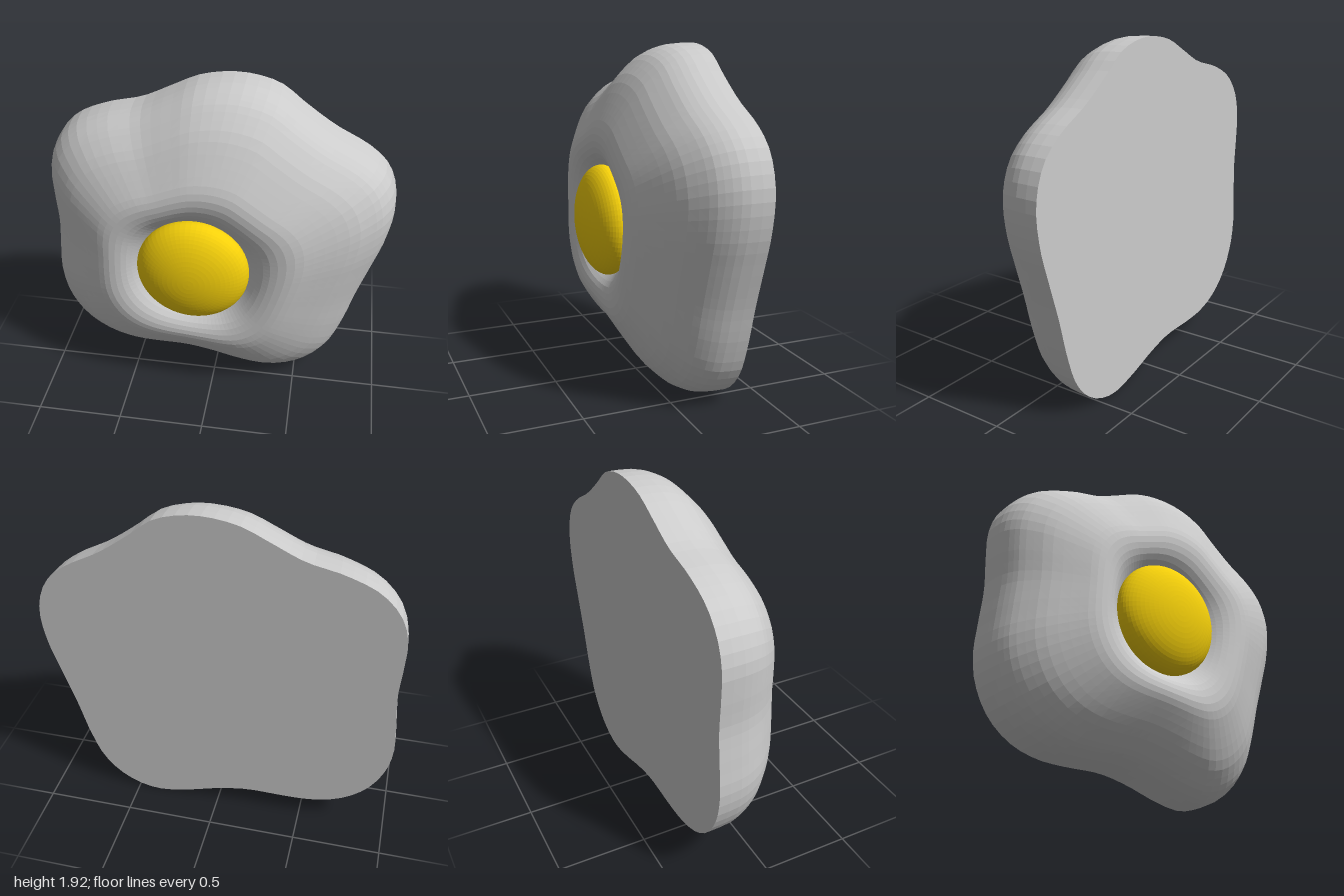
import * as THREE from 'three';

const CX = -0.1, CY = 0.915; // yolk centre
const BACK = -0.305;

// wavy rim of the egg white, counter-clockwise from the right
const RIM = [
  [1.0, 1.2], [0.985, 1.32], [0.93, 1.44], [0.82, 1.54], [0.62, 1.65], [0.45, 1.77],
  [0.32, 1.87], [0.17, 1.915], [0.03, 1.92], [-0.13, 1.89], [-0.28, 1.82], [-0.45, 1.74],
  [-0.65, 1.69], [-0.83, 1.61], [-0.94, 1.49], [-0.985, 1.35], [-0.985, 1.2], [-0.975, 1.0],
  [-0.99, 0.8], [-1.0, 0.62], [-0.97, 0.46], [-0.88, 0.3], [-0.74, 0.19], [-0.58, 0.14],
  [-0.43, 0.13], [-0.18, 0.13], [0, 0.095], [0.2, 0.035], [0.37, 0.005], [0.5, 0.03],
  [0.62, 0.1], [0.72, 0.22], [0.79, 0.4], [0.85, 0.62], [0.92, 0.84], [0.975, 1.02],
];

// cross-section: t = 1 at the rim, 0 at the circle under the yolk; second value is z
const SECTION = [
  [1, BACK], [0.995, -0.2], [0.975, -0.13], [0.94, -0.075], [0.9, -0.03], [0.83, 0.02],
  [0.74, 0.075], [0.62, 0.125], [0.5, 0.168], [0.4, 0.202], [0.31, 0.22], [0.22, 0.218],
  [0.14, 0.2], [0.07, 0.165], [0, 0.12],
];

function eggWhiteGeometry(around = 96, across = 22) {
  const rim = new THREE.CatmullRomCurve3(RIM.map(([x, y]) => new THREE.Vector3(x, y, 0)), true);
  const section = new THREE.SplineCurve(SECTION.map(([t, z]) => new THREE.Vector2(t, z)));
  const outline = rim.getSpacedPoints(around).slice(0, around);
  const pos = [], index = [];
  // rings blend from the wavy rim to a round socket
  for (let j = 0; j <= across; j++) {
    const s = section.getPoint(j / across);
    for (const p of outline) {
      const a = Math.atan2(p.y - CY, p.x - CX);
      pos.push(
        THREE.MathUtils.lerp(CX + 0.3 * Math.cos(a), p.x, s.x),
        THREE.MathUtils.lerp(CY + 0.3 * Math.sin(a), p.y, s.x),
        s.y);
    }
  }
  const front = (across + 1) * around, back = front + 1;
  pos.push(CX, CY, 0.1, CX, CY, BACK);
  for (let i = 0; i < around; i++) {
    const n = (i + 1) % around;
    for (let j = 0; j < across; j++) {
      const a = j * around + i, b = j * around + n;
      index.push(a, b, b + around, a, b + around, a + around);
    }
    index.push(across * around + i, across * around + n, front); // socket floor
    index.push(n, i, back); // flat back
  }
  const geo = new THREE.BufferGeometry();
  geo.setAttribute('position', new THREE.Float32BufferAttribute(pos, 3));
  geo.setIndex(index);
  geo.computeVertexNormals();
  return geo;
}

export function createModel() {
  const group = new THREE.Group();
  group.name = 'friedEgg';

  const white = new THREE.Mesh(
    eggWhiteGeometry(),
    new THREE.MeshStandardMaterial({ color: 0xcccccc, flatShading: true }));
  white.name = 'eggWhite';

  // flattened yolk with its pole facing the front
  const yolkGeo = new THREE.SphereGeometry(0.32, 64, 32);
  yolkGeo.rotateX(Math.PI / 2);
  yolkGeo.scale(1, 1, 0.46);
  const yolk = new THREE.Mesh(
    yolkGeo,
    new THREE.MeshStandardMaterial({ color: 0xf5d00a, flatShading: true }));
  yolk.name = 'yolk';
  yolk.position.set(CX, CY, 0.158);

  group.add(white, yolk);
  return group;
}
